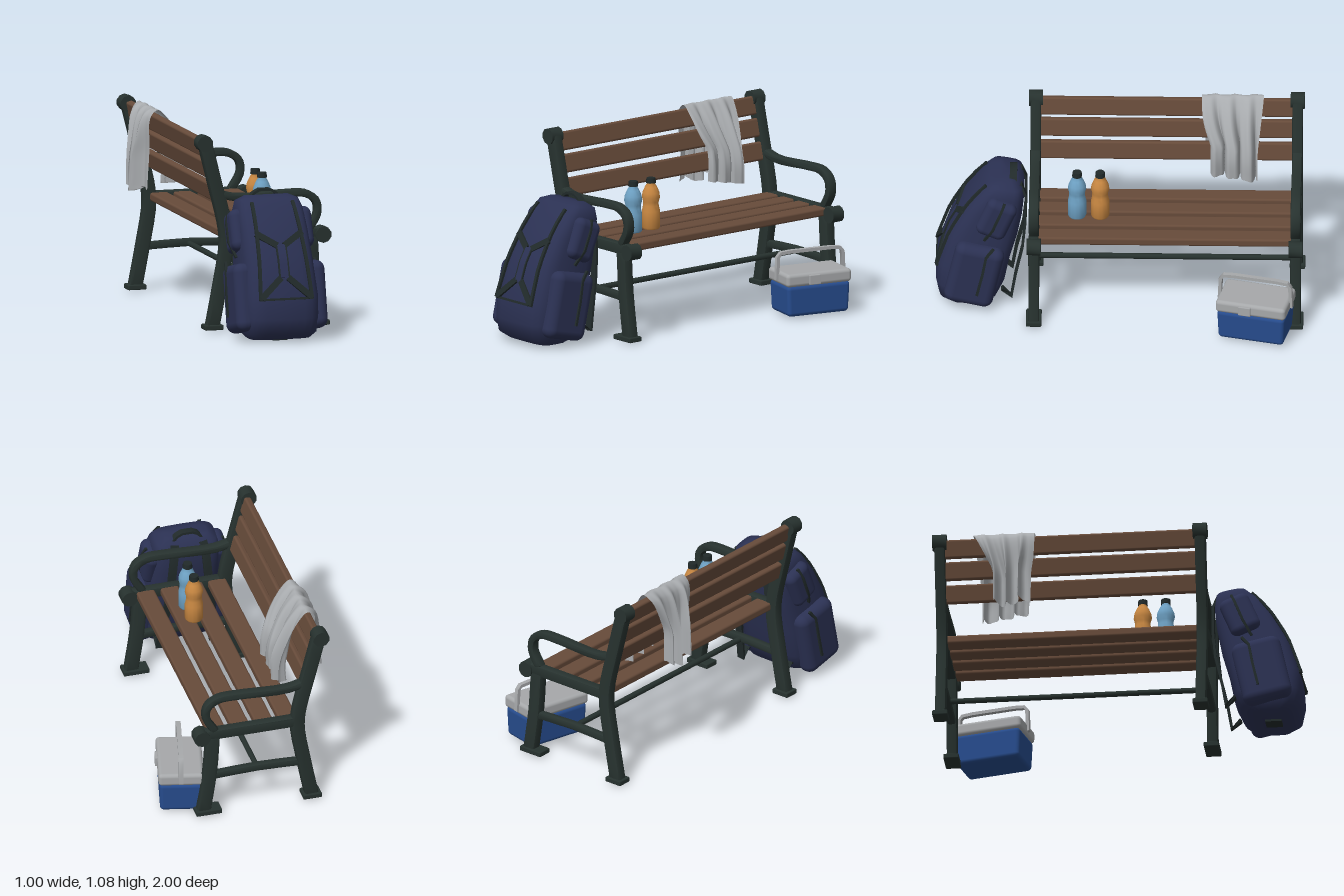
import * as THREE from 'three';
import { toCreasedNormals } from 'three/addons/utils/BufferGeometryUtils.js';
import { RoundedBoxGeometry } from 'three/addons/geometries/RoundedBoxGeometry.js';

const V = (x, y, z) => new THREE.Vector3(x, y, z);
const paint = (name, color, extra = {}) => {
  const m = new THREE.MeshStandardMaterial({ color, ...extra });
  m.name = name;
  return m;
};

const iron = paint('dark green iron', 0x27322f);
const wood = paint('brown wood', 0x674b3a);
const navy = paint('navy fabric', 0x2b3153);
const webbing = paint('dark webbing', 0x212a2a);
const blue = paint('cooler blue', 0x264b8c);
const grey = paint('light grey plastic', 0xa6a8aa);
const cloth = paint('towel grey', 0xa9acaf, { side: THREE.DoubleSide });
const water = paint('bottle blue', 0x6fa3c6);
const juice = paint('bottle orange', 0xc98842);

function add(parent, name, geometry, material, x = 0, y = 0, z = 0) {
  const mesh = new THREE.Mesh(geometry, material);
  mesh.name = name;
  mesh.position.set(x, y, z);
  parent.add(mesh);
  return mesh;
}
function group(parent, name) {
  const g = new THREE.Group();
  g.name = name;
  parent.add(g);
  return g;
}

// Closed rings of points joined into a skin with fan caps
function loft(rings, crease = 0.7) {
  const n = rings[0].length, pos = [], idx = [];
  rings.forEach(r => r.forEach(p => pos.push(p.x, p.y, p.z)));
  for (let i = 0; i < rings.length - 1; i++) for (let j = 0; j < n; j++) {
    const a = i * n + j, b = i * n + (j + 1) % n;
    idx.push(a, b, b + n, a, b + n, a + n);
  }
  [[0, true], [rings.length - 1, false]].forEach(([i, flip]) => {
    const c = rings[i].reduce((s, p) => s.add(p), V(0, 0, 0)).divideScalar(n);
    const k = pos.length / 3;
    pos.push(c.x, c.y, c.z);
    for (let j = 0; j < n; j++) {
      const a = i * n + j, b = i * n + (j + 1) % n;
      flip ? idx.push(k, b, a) : idx.push(k, a, b);
    }
  });
  const g = new THREE.BufferGeometry();
  g.setAttribute('position', new THREE.Float32BufferAttribute(pos, 3));
  g.setIndex(idx);
  return toCreasedNormals(g, crease);
}

// Flat band that follows points, facing the given direction
function ribbon(points, facing, width, thick = 0.014) {
  return loft(points.map((p, i) => {
    const t = points[Math.min(i + 1, points.length - 1)].clone().sub(points[Math.max(i - 1, 0)]).normalize();
    const s = t.clone().cross(facing).normalize();
    const n = s.clone().cross(t).normalize();
    return [[1, 1], [-1, 1], [-1, -1], [1, -1]].map(([a, b]) =>
      p.clone().addScaledVector(n, a * thick / 2).addScaledVector(s, b * width / 2));
  }));
}

// Bevelled bar of constant width that follows a path in the xy plane
function bar(path, width, depth) {
  const pts = path.map(p => new THREE.Vector2(...p)), left = [], right = [];
  pts.forEach((p, i) => {
    const t = pts[Math.min(i + 1, pts.length - 1)].clone().sub(pts[Math.max(i - 1, 0)]).normalize();
    const n = new THREE.Vector2(-t.y, t.x).multiplyScalar(width / 2);
    left.push(p.clone().add(n));
    right.unshift(p.clone().sub(n));
  });
  const b = 0.012;
  const g = new THREE.ExtrudeGeometry(new THREE.Shape([...left, ...right]), {
    depth: depth - 2 * b, bevelThickness: b, bevelSize: b, bevelOffset: -b, bevelSegments: 2,
  });
  return toCreasedNormals(g.translate(0, 0, b - depth / 2), 0.6);
}
function smoothPath(pts, n) {
  return new THREE.CatmullRomCurve3(pts.map(p => V(p[0], p[1], 0))).getPoints(n).map(p => [p.x, p.y]);
}

function addBench(root) {
  const bench = group(root, 'bench');
  const post = smoothPath([[-0.385, 1.03], [-0.33, 0.81], [-0.272, 0.57], [-0.266, 0.46], [-0.3, 0.25], [-0.345, 0.015]], 16);
  const frontLeg = smoothPath([[0.212, 0.5], [0.228, 0.27], [0.265, 0.015]], 6);
  const arm = smoothPath([[-0.31, 0.75], [-0.2, 0.725], [0.08, 0.735], [0.18, 0.73], [0.24, 0.69], [0.25, 0.62], [0.2, 0.53]], 20);
  for (const z of [0.46, -0.957]) {
    const end = group(bench, 'endFrame');
    end.position.z = z;
    add(end, 'backPost', bar(post, 0.075, 0.058), iron);
    add(end, 'frontLeg', bar(frontLeg, 0.075, 0.058), iron);
    add(end, 'armrest', bar(arm, 0.042, 0.055), iron);
    add(end, 'seatRail', bar([[-0.27, 0.51], [0.28, 0.51]], 0.06, 0.056), iron);
    add(end, 'lowerRail', bar(smoothPath([[-0.3, 0.24], [-0.04, 0.25], [0.23, 0.24]], 4), 0.042, 0.045), iron);
    for (const [x, y] of [[-0.392, 1.03], [0.277, 0.502]]) {
      add(end, 'scrollKnob', toCreasedNormals(new THREE.CylinderGeometry(0.045, 0.045, 0.076, 10).rotateX(Math.PI / 2), 0.7), iron, x, y);
    }
    add(end, 'rearFoot', new RoundedBoxGeometry(0.105, 0.028, 0.084, 1, 0.006), iron, -0.342, 0.021);
    add(end, 'frontFoot', new RoundedBoxGeometry(0.145, 0.028, 0.084, 1, 0.006), iron, 0.24, 0.021);
  }
  add(bench, 'stretcher', new THREE.CylinderGeometry(0.016, 0.016, 1.4, 8).rotateX(Math.PI / 2), iron, -0.04, 0.245, -0.245);
  for (const x of [-0.215, -0.082, 0.052, 0.187]) {
    add(bench, 'seatSlat', new RoundedBoxGeometry(0.102, 0.046, 1.39, 2, 0.012), wood, x, 0.512, -0.247);
  }
  for (const y of [0.995, 0.877, 0.752]) {
    const slat = add(bench, 'backSlat', new RoundedBoxGeometry(0.04, 0.102, 1.39, 2, 0.012), wood, -0.383 + (1.03 - y) * 0.24, y, -0.247);
    slat.rotation.z = 0.235;
  }
}

function addBackpack(root) {
  const bag = group(root, 'backpack');
  bag.position.x = -0.085;
  // front z, front y, back z, back y, half width
  const slices = [
    [0.92, 0.012, 0.74, 0.012, 0.17], [0.98, 0.05, 0.66, 0.045, 0.2], [0.996, 0.13, 0.62, 0.13, 0.21],
    [0.988, 0.25, 0.59, 0.28, 0.21], [0.92, 0.45, 0.55, 0.42, 0.198], [0.835, 0.6, 0.525, 0.55, 0.192],
    [0.75, 0.71, 0.515, 0.66, 0.184], [0.7, 0.752, 0.523, 0.72, 0.168], [0.65, 0.765, 0.565, 0.752, 0.12]];
  const soft = c => Math.sign(c) * Math.pow(Math.abs(c), 0.5);
  add(bag, 'packBody', loft(slices.map(([fz, fy, bz, by, w]) => Array.from({ length: 24 }, (_, j) => {
    const t = j / 24 * Math.PI * 2, d = soft(Math.cos(t)) / 2 + 0.5;
    return V(w * soft(Math.sin(t)), by + (fy - by) * d, bz + (fz - bz) * d);
  })), 1.2), navy);
  // Depth of the front panel at a given height
  const frontZ = y => {
    const i = Math.max(1, slices.findIndex(s => s[1] >= y)), a = slices[i - 1], b = slices[i];
    return a[0] + (b[0] - a[0]) * (y - a[1]) / (b[1] - a[1]) + 0.002;
  };
  const frontStrap = (x0, y0, x1, y1, w, m = webbing) => {
    const pts = Array.from({ length: 9 }, (_, i) => {
      const y = y0 + (y1 - y0) * i / 8;
      return V(x0 + (x1 - x0) * i / 8, y, frontZ(y));
    });
    add(bag, 'frontStrap', ribbon(pts, V(0, 0.4, 1), w), m);
  };
  for (const s of [-1, 1]) {
    frontStrap(s * 0.115, 0.735, s * 0.145, 0.245, 0.018);
    frontStrap(s * 0.13, 0.585, s * 0.02, 0.52, 0.034);
    frontStrap(s * 0.02, 0.355, s * 0.14, 0.25, 0.034);
    frontStrap(s * 0.026, 0.53, s * 0.026, 0.35, 0.008);
    const low = add(bag, 'lowerSidePocket', new RoundedBoxGeometry(0.11, 0.37, 0.27, 4, 0.05), navy, s * 0.204, 0.225, 0.785);
    low.rotation.x = -0.22;
    const high = add(bag, 'upperSidePocket', new RoundedBoxGeometry(0.09, 0.23, 0.17, 4, 0.042), navy, s * 0.187, 0.57, 0.665);
    high.rotation.x = -0.4;
    add(bag, 'pocketTrim', ribbon([V(s * 0.25, 0.41, 0.68), V(s * 0.258, 0.36, 0.72), V(s * 0.262, 0.25, 0.74), V(s * 0.262, 0.12, 0.77)], V(s, 0, 0), 0.014), webbing);
    add(bag, 'upperTrim', ribbon([V(s * 0.215, 0.68, 0.62), V(s * 0.234, 0.62, 0.645), V(s * 0.234, 0.52, 0.685), V(s * 0.205, 0.44, 0.73)], V(s, 0, 0), 0.014), webbing);
    // Shoulder straps
    add(bag, 'shoulderStrap', ribbon([V(s * 0.08, 0.73, 0.535), V(s * 0.09, 0.66, 0.508), V(s * 0.105, 0.5, 0.51), V(s * 0.12, 0.35, 0.525), V(s * 0.14, 0.2, 0.56), V(s * 0.15, 0.05, 0.585), V(s * 0.15, 0.1, 0.635)], V(0, 0.1, -1), 0.045), webbing);
  }
  frontStrap(0, 0.525, 0, 0.355, 0.044, navy);
  add(bag, 'crossStrap', ribbon([V(-0.15, 0.243, 0.987), V(0.15, 0.243, 0.987)], V(0, 0.2, 1), 0.012), webbing);
  add(bag, 'topHandle', ribbon([V(-0.08, 0.74, 0.575), V(-0.06, 0.765, 0.575), V(-0.03, 0.781, 0.575), V(0.03, 0.781, 0.575), V(0.06, 0.765, 0.575), V(0.08, 0.74, 0.575)], V(0, 1, 0), 0.04), webbing);
  add(bag, 'baseTab', new THREE.BoxGeometry(0.08, 0.012, 0.09), webbing, 0, 0.006, 0.83);
}

function addCooler(root) {
  const cooler = group(root, 'cooler');
  cooler.position.set(0.335, 0, -0.742);
  cooler.rotation.y = -0.238;
  const tub = new RoundedBoxGeometry(0.24, 0.17, 0.385, 3, 0.022);
  const p = tub.attributes.position;
  for (let i = 0; i < p.count; i++) {
    const k = 0.96 + 0.235 * p.getY(i);
    p.setXYZ(i, p.getX(i) * k, p.getY(i), p.getZ(i) * k);
  }
  add(cooler, 'tub', tub, blue, 0, 0.097);
  add(cooler, 'lid', new RoundedBoxGeometry(0.246, 0.072, 0.39, 3, 0.02), grey, 0, 0.214);
  add(cooler, 'latch', new RoundedBoxGeometry(0.018, 0.055, 0.07, 1, 0.005), grey, 0.125, 0.212, 0.03);
  const y = [0.2, 0.325, 0.345, 0.35], z = [0.2, 0.194, 0.178, 0.12];
  const half = y.map((h, i) => V(0, h, z[i]));
  const whole = [...half, ...half.map(q => V(0, q.y, -q.z)).reverse()];
  add(cooler, 'carryHandle', ribbon(whole, V(1, 0, 0), 0.018, 0.026), grey);
}

function addBottle(root, name, material, z) {
  const bottle = group(root, name);
  bottle.position.set(0.01, 0.535, z);
  const profile = [[0, 0], [0.044, 0], [0.05, 0.01], [0.05, 0.1], [0.043, 0.13], [0.043, 0.15], [0.05, 0.175], [0.047, 0.2], [0.033, 0.232], [0.022, 0.25], [0.022, 0.26]];
  add(bottle, 'bottleBody', toCreasedNormals(new THREE.LatheGeometry(profile.map(q => new THREE.Vector2(...q)), 14), 0.8), material);
  add(bottle, 'bottleCap', new THREE.CylinderGeometry(0.025, 0.027, 0.028, 10), webbing, 0, 0.267);
}

function addTowel(root) {
  const path = new THREE.CatmullRomCurve3([[-0.225, 0.64], [-0.225, 0.76], [-0.265, 0.9], [-0.325, 1.02], [-0.375, 1.07], [-0.425, 1.03], [-0.445, 0.85], [-0.455, 0.63]].map(q => V(q[0], q[1], 0)));
  const g = new THREE.PlaneGeometry(1, 1, 36, 36), p = g.attributes.position;
  for (let i = 0; i < p.count; i++) {
    const u = p.getX(i) + 0.5, v = p.getY(i) + 0.5, c = path.getPoint(v);
    const drop = Math.min(1, Math.max(0, (1.07 - c.y) / 0.25)), back = v > 0.57;
    const fold = Math.sin(u * 19 + (back ? 0.8 : 0)) + 0.35 * Math.sin(u * 41 + v * 3);
    const z0 = -0.44 - (back ? 0.03 : 0.06) * drop * drop, z1 = -0.775 + (back ? 0.1 : 0.02) * drop;
    const hem = back ? 0.02 * Math.sin(u * 8) : 0.05 * (0.5 - u);
    p.setXYZ(i, c.x + (0.005 + 0.03 * drop) * fold, c.y + hem * drop, z0 + (z1 - z0) * u + 0.012 * drop * Math.cos(u * 19));
  }
  g.computeVertexNormals();
  add(root, 'towel', g, cloth);
}

export function createModel() {
  const root = new THREE.Group();
  root.name = 'parkBenchWithBelongings';
  addBench(root);
  addBackpack(root);
  addCooler(root);
  addBottle(root, 'blueBottle', water, 0.23);
  addBottle(root, 'orangeBottle', juice, 0.105);
  addTowel(root);
  return root;
}
